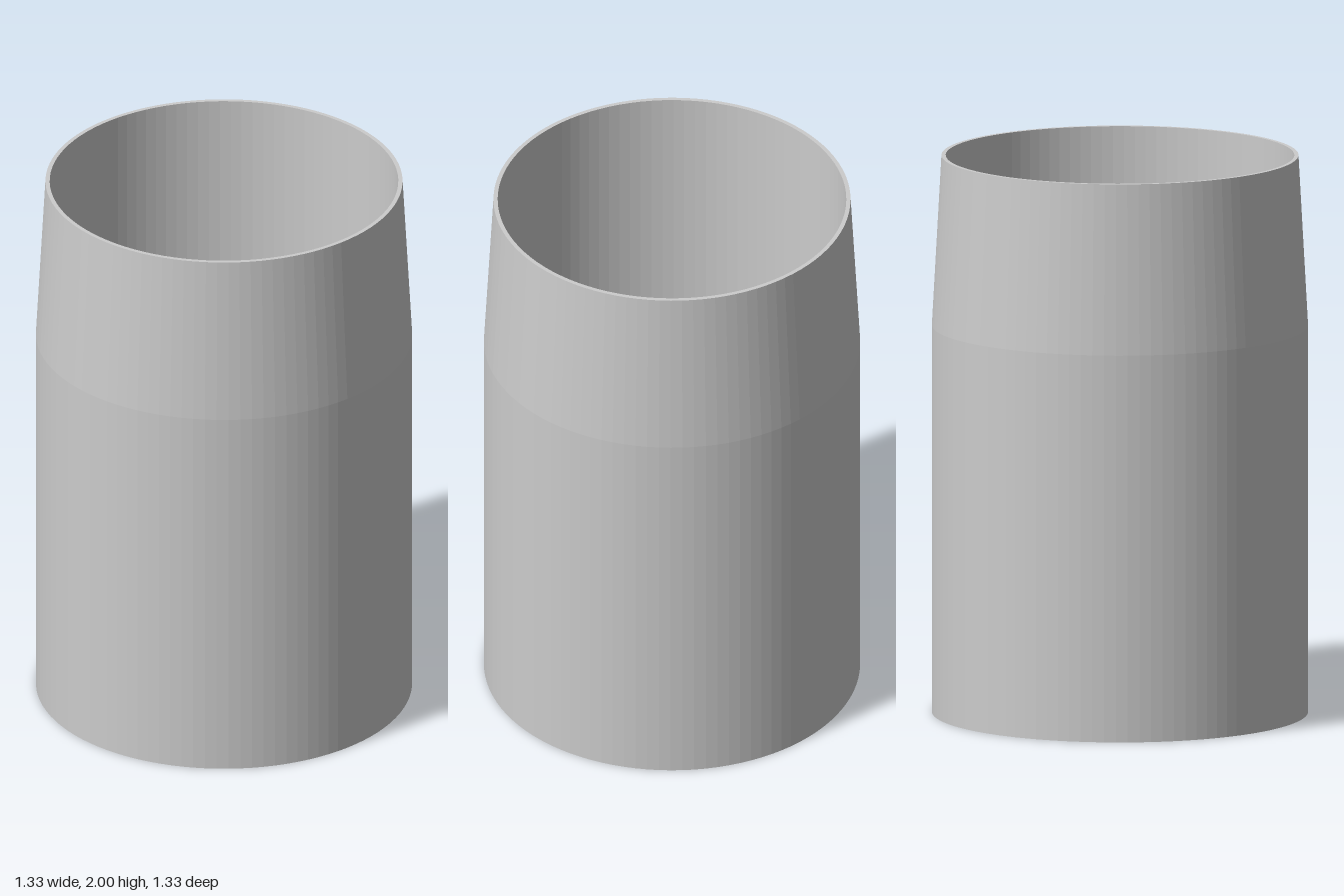
import * as THREE from 'three';

export function createModel() {
  const group = new THREE.Group();
  group.name = 'sleeve';

  // Closed wall section: straight outside, tapered neck, straight bore
  const outer = 0.667, neck = 0.633, bore = 0.618, taperStart = 1.39, height = 2;
  const profile = [
    [outer, 0],
    [outer, taperStart],
    [neck, height],
    [bore, height],
    [bore, 0],
    [outer, 0],
  ].map(([r, y]) => new THREE.Vector2(r, y));

  const tube = new THREE.Mesh(
    new THREE.LatheGeometry(profile, 100),
    new THREE.MeshStandardMaterial({ color: 0xcccccc, flatShading: true })
  );
  tube.name = 'taperedTube';
  group.add(tube);
  return group;
}
